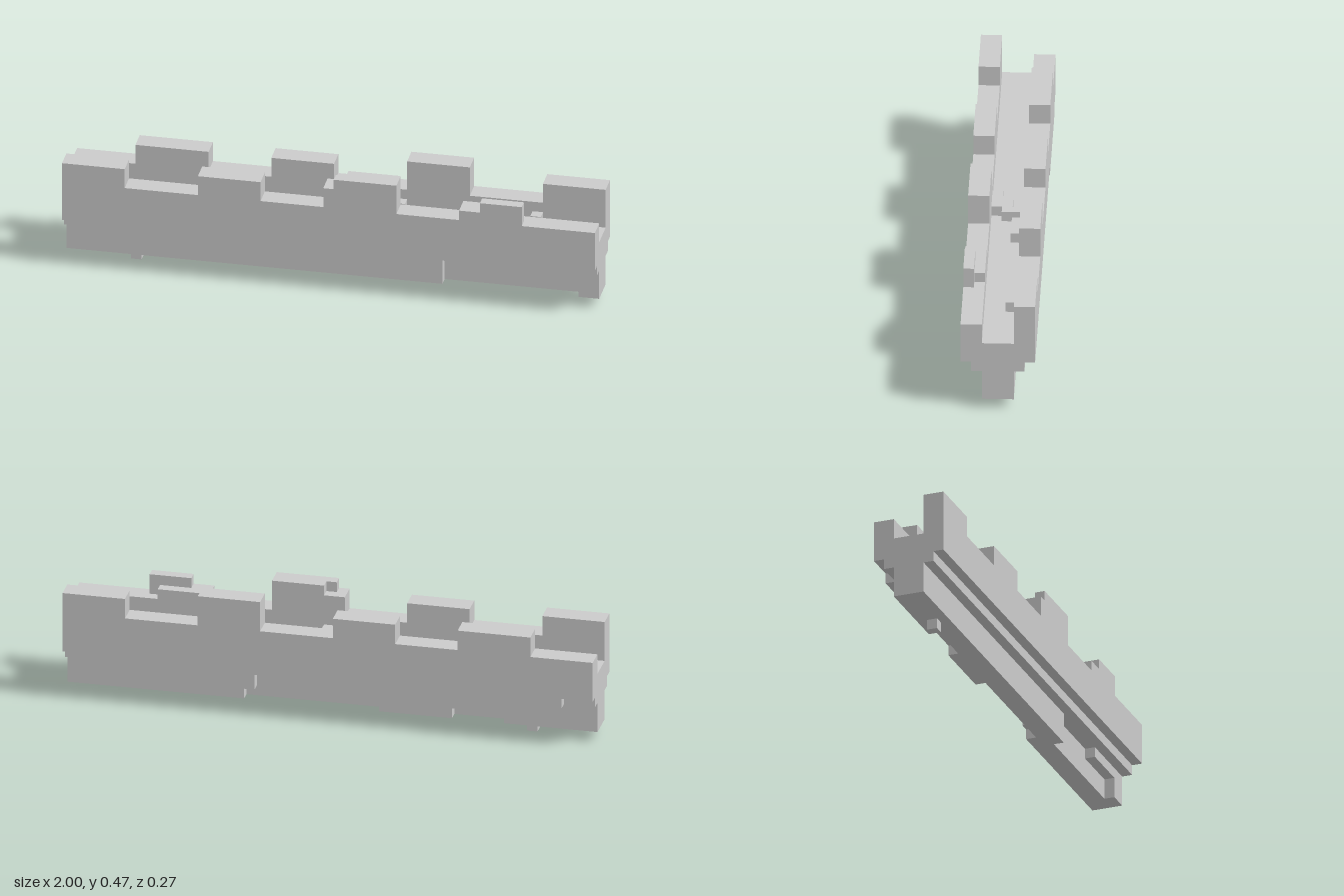
import * as THREE from 'three';

const LENGTH = 51;          // wall length in blocks
const ROWS = 7;             // wall thickness in blocks
const U = 2 / LENGTH;       // size of one block

const stone = new THREE.MeshStandardMaterial({ color: 0xcccccc, flatShading: true });

// Turns [start, height] steps into corner points running along the wall
function stepPoints(steps) {
  return steps.flatMap(([start, h], i) => {
    const end = i + 1 < steps.length ? steps[i + 1][0] : LENGTH;
    return [[start, h], [end, h]];
  });
}

// One lengthwise slice of the wall, from a stepped top and a stepped underside
function slice(name, row, depth, top, bottom) {
  const outline = [...stepPoints(bottom), ...stepPoints(top).reverse()];
  const shape = new THREE.Shape(
    outline.map(([x, y]) => new THREE.Vector2((x - LENGTH / 2) * U, y * U))
  );
  const geometry = new THREE.ExtrudeGeometry(shape, { depth: depth * U, bevelEnabled: false });
  const mesh = new THREE.Mesh(geometry, stone);
  mesh.name = name;
  mesh.position.z = (row - ROWS / 2) * U;
  return mesh;
}

export function createModel() {
  const wall = new THREE.Group();
  wall.name = 'battlementWall';

  // Back parapet: battlements offset from the front ones, one of them taller
  const backTop = [[0, 9], [6, 11], [13, 9], [19, 11], [25, 9], [32, 12], [38, 9], [45, 11]];
  wall.add(slice('backParapetOuter', 0, 1, backTop, [[0, 5], [3, 4], [14, 5]]));
  wall.add(slice('backParapetInner', 1, 1, backTop, [[0, 4]]));

  // Walkway with loose stones on top, and the worn base below it
  wall.add(slice('walkwayBack', 2, 1,
    [[0, 7], [27, 8], [28, 7], [29, 8], [32, 7], [44, 8], [45, 7]],
    [[0, 1], [9, 2], [14, 1], [21, 3], [23, 4], [33, 2], [34, 1]]));
  wall.add(slice('walkwayMiddle', 3, 1,
    [[0, 7], [25, 8], [28, 7]],
    [[0, 1], [6, 0], [7, 1]]));
  wall.add(slice('walkwayFront', 4, 1,
    [[0, 7], [24, 8], [27, 7]],
    [[0, 1], [36, 4], [44, 3], [49, 1]]));

  // Front parapet: a chipped tall battlement and a crumbled last one
  const frontTop = [[0, 11], [6, 9], [13, 11], [19, 9], [25, 11]];
  wall.add(slice('frontParapetInner', 5, 1,
    [...frontTop, [27, 12], [32, 9], [38, 10], [43, 9]], [[0, 4]]));
  wall.add(slice('frontParapetOuter', 6, 1,
    [...frontTop, [26, 12], [32, 9], [38, 10], [40, 11], [44, 9]], [[0, 5]]));

  return wall;
}
